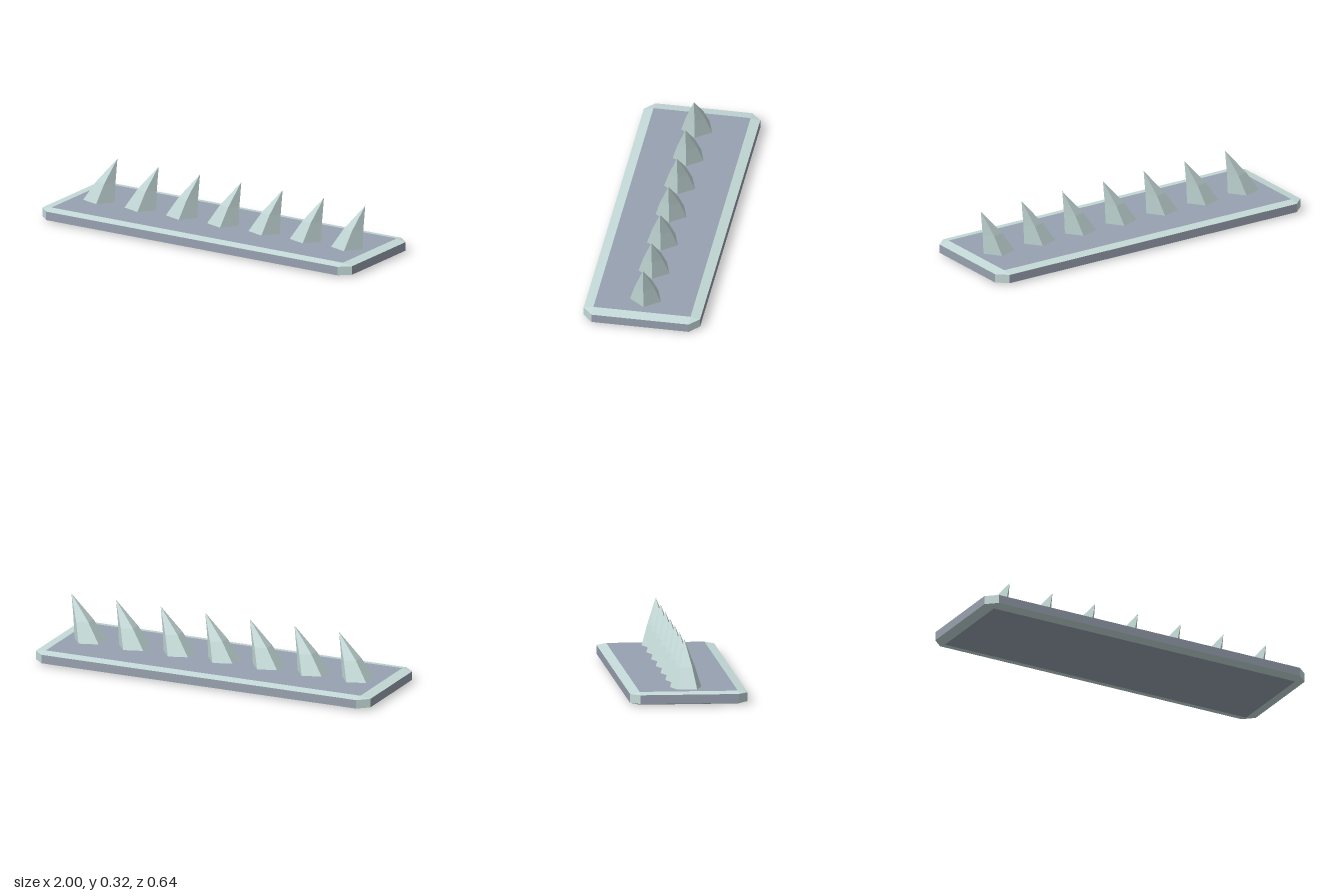
import * as THREE from 'three';

const paleMetal = new THREE.MeshStandardMaterial({ color: 0xc4dad8 });
const slate = new THREE.MeshStandardMaterial({ color: 0x98a1b0 });
paleMetal.name = 'paleMetal';
slate.name = 'slate';

// Flat-shaded geometry from convex faces, each listed counter-clockwise from outside
function fromFaces(faces) {
  const pos = [];
  for (const f of faces)
    for (let i = 1; i < f.length - 1; i++) pos.push(...f[0], ...f[i], ...f[i + 1]);
  const geo = new THREE.BufferGeometry();
  geo.setAttribute('position', new THREE.Float32BufferAttribute(pos, 3));
  geo.computeVertexNormals();
  return geo;
}

function addMesh(parent, name, geo, mat) {
  const mesh = new THREE.Mesh(geo, mat);
  mesh.name = name;
  parent.add(mesh);
  return mesh;
}

// Bevelled plate: slate panels framed by pale bevels and cut corners
function createPlate() {
  const X = 1, Z = 0.32, x = 0.94, z = 0.267;
  const yBottom = 0, yLow = 0.012, yHigh = 0.06, yTop = 0.07;
  const corners = [[1, 1], [1, -1], [-1, -1], [-1, 1]].map(([sx, sz]) => {
    const ends = [[sx * x, sz * Z], [sx * X, sz * z]];
    if (sx * sz < 0) ends.reverse();
    return { a: ends[0], b: ends[1], c: [sx * x, sz * z] };
  });
  const at = (p, y) => [p[0], y, p[1]];
  const wall = (p, q) => [at(p, yLow), at(q, yLow), at(q, yHigh), at(p, yHigh)];
  const panels = [
    corners.map(k => at(k.c, yTop)),
    corners.map(k => at(k.c, yBottom)).reverse(),
  ];
  const bevels = [];
  corners.forEach((k, i) => {
    const n = corners[(i + 1) % 4];
    panels.push(wall(k.b, n.a));
    bevels.push(wall(k.a, k.b));
    // top and bottom bevels, at the corner and along the edge
    bevels.push([at(k.a, yHigh), at(k.b, yHigh), at(k.c, yTop)]);
    bevels.push([at(k.b, yHigh), at(n.a, yHigh), at(n.c, yTop), at(k.c, yTop)]);
    bevels.push([at(k.b, yLow), at(k.a, yLow), at(k.c, yBottom)]);
    bevels.push([at(n.a, yLow), at(k.b, yLow), at(k.c, yBottom), at(n.c, yBottom)]);
  });
  const plate = new THREE.Group();
  plate.name = 'plate';
  addMesh(plate, 'platePanels', fromFaces(panels), slate);
  addMesh(plate, 'plateBevels', fromFaces(bevels), paleMetal);
  return plate;
}

// Five-sided spike leaning towards +x, bent once on the way up
function spikeGeometry() {
  const ring = (cx, y, scale) => Array.from({ length: 5 }, (_, i) => {
    const a = (i / 5) * Math.PI * 2;
    return [cx + Math.cos(a) * 0.094 * scale, y, -Math.sin(a) * 0.09 * scale];
  });
  const foot = ring(0, 0.068, 1), bend = ring(0.042, 0.18, 0.61), tip = [0.112, 0.32, 0];
  const faces = [[...foot].reverse()];
  for (let i = 0; i < 5; i++) {
    const j = (i + 1) % 5;
    faces.push([foot[i], foot[j], bend[j], bend[i]], [bend[i], bend[j], tip]);
  }
  return fromFaces(faces);
}

export function createModel() {
  const model = new THREE.Group();
  model.name = 'spikeStrip';
  model.add(createPlate());

  // Row of seven spikes
  const geo = spikeGeometry();
  for (let i = 0; i < 7; i++)
    addMesh(model, 'spike' + (i + 1), geo, paleMetal).position.x = -0.8 + i * (1.6 / 6);
  return model;
}
